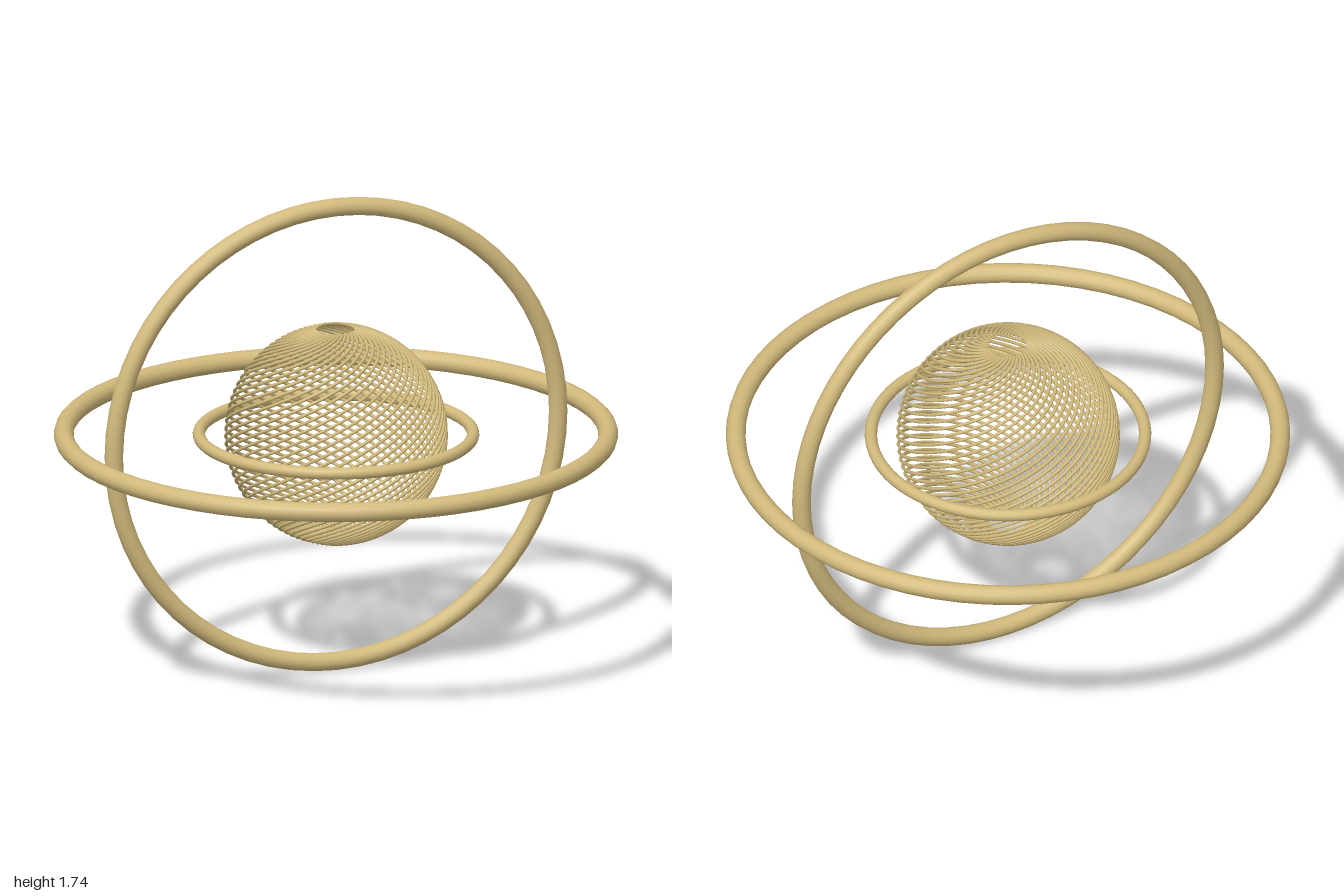
import * as THREE from 'three';
import { mergeGeometries } from 'three/addons/utils/BufferGeometryUtils.js';

const CENTRE_Y = 0.872;
const BALL_RADIUS = 0.389;
const STRANDS = 40;

export function createModel() {
  const group = new THREE.Group();
  group.name = 'ringedLatticeBall';

  const brass = new THREE.MeshStandardMaterial({ color: 0xd2ba7c });
  brass.name = 'pale brass';

  function addMesh(name, geometry) {
    const mesh = new THREE.Mesh(geometry, brass);
    mesh.name = name;
    mesh.position.y = CENTRE_Y;
    group.add(mesh);
    return mesh;
  }

  // Rings: one upright, two lying flat
  function addRing(name, outerRadius, tube, flat) {
    const ring = addMesh(name, new THREE.TorusGeometry(outerRadius - tube, tube, 12, 64));
    if (flat) ring.rotation.x = Math.PI / 2;
  }
  addRing('outerRing', 0.996, 0.035, true);
  addRing('uprightRing', 0.869, 0.033, false);
  addRing('innerRing', 0.506, 0.022, true);

  // One strand climbs the ball from the lower opening to the upper one
  const maxLatitude = THREE.MathUtils.degToRad(80);
  const points = [];
  for (let i = 0; i <= 48; i++) {
    const latitude = THREE.MathUtils.lerp(-maxLatitude, maxLatitude, i / 48);
    const turn = latitude * 2;
    const r = BALL_RADIUS * Math.cos(latitude);
    points.push(new THREE.Vector3(
      r * Math.sin(turn), BALL_RADIUS * Math.sin(latitude), r * Math.cos(turn)));
  }
  const strand = new THREE.TubeGeometry(new THREE.CatmullRomCurve3(points), 72, 0.006, 6);

  // Ball: the strand repeated around the upright axis
  const strands = [];
  for (let i = 0; i < STRANDS; i++) {
    strands.push(strand.clone().rotateY((i / STRANDS) * Math.PI * 2));
  }
  addMesh('latticeBall', mergeGeometries(strands));

  return group;
}
